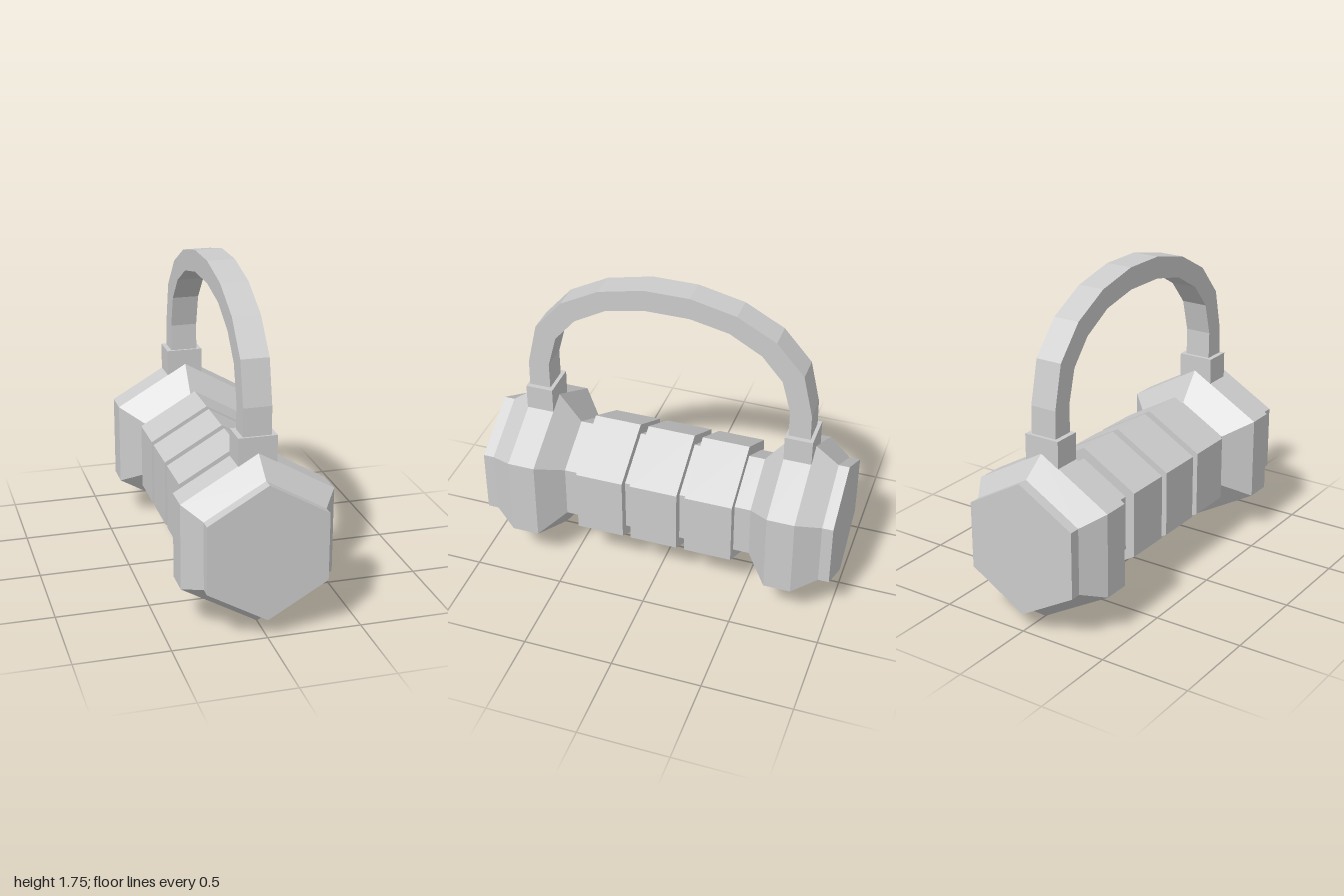
import * as THREE from 'three';

const AXIS_Y = 0.468; // height of the hexagonal bar's axis

export function createModel() {
  const group = new THREE.Group();
  const material = new THREE.MeshStandardMaterial({ color: 0xcccccc, flatShading: true });

  const add = (name, geometry, x = 0, y = 0, z = 0) => {
    const mesh = new THREE.Mesh(geometry, material);
    mesh.name = name;
    mesh.position.set(x, y, z);
    group.add(mesh);
  };

  // Six-sided body along z: end weights, narrow core and three raised grip bands
  const half = [ // [radius, z] from the middle to the end
    [0.367, 0.134], [0.305, 0.134],
    [0.305, 0.18], [0.367, 0.18], [0.367, 0.446], [0.305, 0.446],
    [0.305, 0.535], [0.466, 0.66], [0.466, 0.81],
    [0.367, 0.94], [0.367, 1], [0, 1],
  ];
  const profile = [
    ...half.slice().reverse().map(([r, z]) => new THREE.Vector2(r, -z)),
    ...half.map(([r, z]) => new THREE.Vector2(r, z)),
  ];
  add('hexagonalBody', new THREE.LatheGeometry(profile, 6).rotateX(Math.PI / 2), 0, AXIS_Y, 0);

  // Sockets that hold the handle on top of each weight
  for (const [name, side] of [['frontSocket', 1], ['backSocket', -1]]) {
    add(name, new THREE.BoxGeometry(0.204, 0.2, 0.153), -0.004, 0.92, side * 0.736);
  }

  // Arched handle: a flat-sided band extruded across x
  const outer = [[0.798, 0.95], [0.795, 1.17], [0.742, 1.405], [0.59, 1.58], [0.376, 1.694], [0.125, 1.75]];
  const inner = [[0.676, 0.95], [0.678, 1.17], [0.63, 1.35], [0.515, 1.485], [0.338, 1.585], [0.125, 1.63]];
  const arch = (pts) => [
    ...pts.map(([z, y]) => new THREE.Vector2(z, y)),
    ...pts.slice().reverse().map(([z, y]) => new THREE.Vector2(-z, y)),
  ];
  const shape = new THREE.Shape([...arch(outer), ...arch(inner).reverse()]);
  const handle = new THREE.ExtrudeGeometry(shape, { depth: 0.15, bevelEnabled: false });
  handle.translate(0, 0, -0.075).rotateY(Math.PI / 2);
  add('handle', handle, -0.004, 0, 0.004);

  return group;
}
